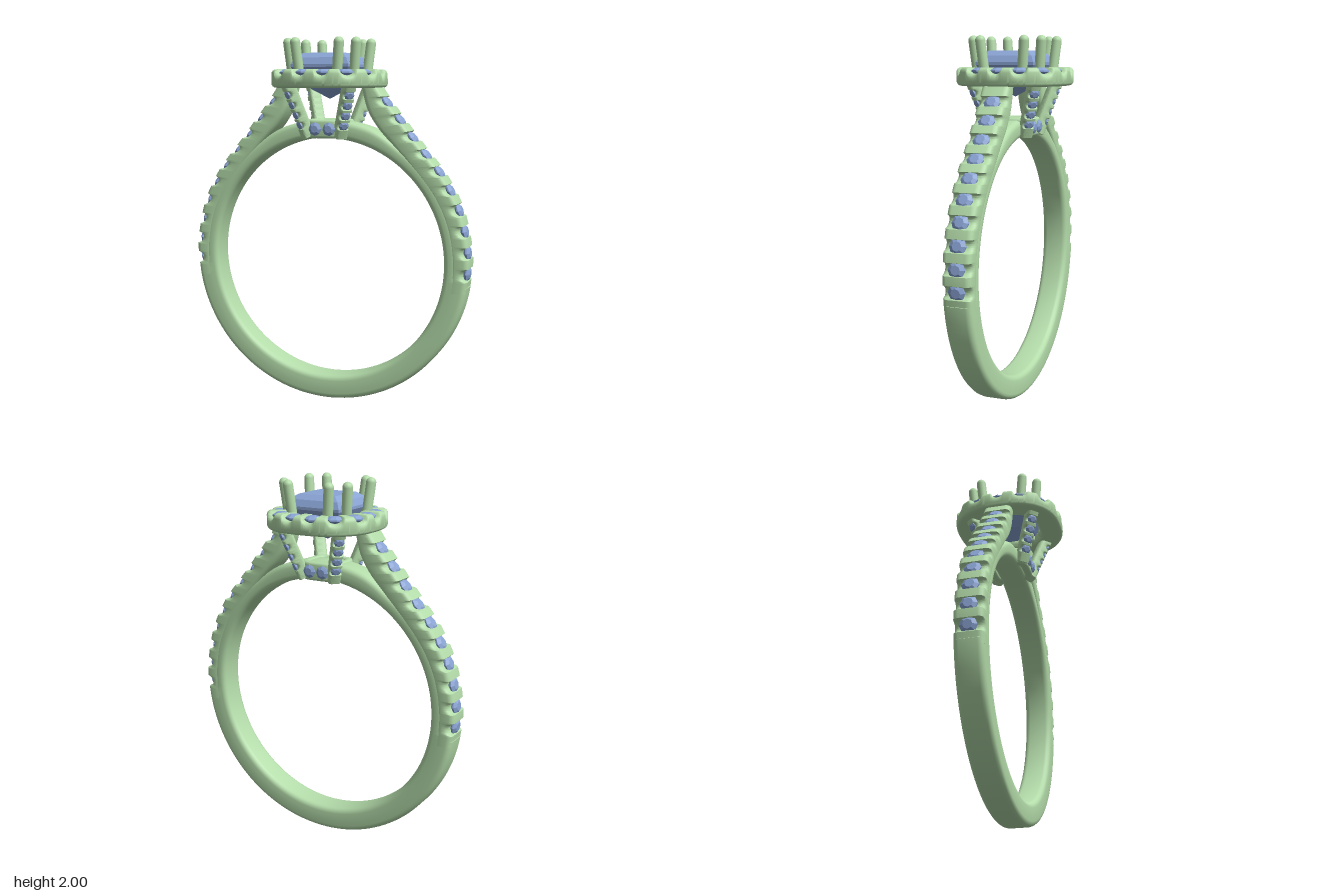
import * as THREE from 'three';
import { toCreasedNormals } from 'three/addons/utils/BufferGeometryUtils.js';

const V = (x, y, z = 0) => new THREE.Vector3(x, y, z);
const UP = V(0, 1, 0);
const metal = new THREE.MeshStandardMaterial({ color: 0xb4dcaa });
const gemMat = new THREE.MeshStandardMaterial({ color: 0x8aa4d4, flatShading: true });

// Rounded rectangle, width w centred on 0, height from 0 to h, counter-clockwise
function roundedRect(w, h, r) {
  r = Math.min(r, h * 0.45, w * 0.45);
  const pts = [];
  const corners = [[w / 2 - r, r], [w / 2 - r, h - r], [r - w / 2, h - r], [r - w / 2, r]];
  corners.forEach(([cx, cy], c) => {
    for (let k = 0; k <= 4; k++) {
      const a = (c - 1 + k / 4) * Math.PI / 2;
      pts.push([cx + r * Math.cos(a), cy + r * Math.sin(a)]);
    }
  });
  return pts;
}

// Sweep a rounded rectangle; section(u) gives base o, height direction y, tangent t, w, h, r
function sweep(name, n, closed, section) {
  const pos = [], idx = [], rows = closed ? n : n + 3;
  for (let i = 0; i < rows; i++) {
    const k = closed ? i : Math.min(Math.max(i - 1, 0), n);
    const s = section(k / n);
    const x = s.y.clone().cross(s.t).normalize();
    const cap = !closed && (i === 0 || i === rows - 1); // end rows collapse into caps
    for (const [a, b] of roundedRect(s.w, s.h, s.r)) {
      const p = s.o.clone().addScaledVector(x, cap ? 0 : a).addScaledVector(s.y, cap ? s.h / 2 : b);
      pos.push(p.x, p.y, p.z);
    }
  }
  const m = 20;
  for (let i = 0; i < (closed ? rows : rows - 1); i++) {
    for (let j = 0; j < m; j++) {
      const a = i * m + j, b = i * m + (j + 1) % m;
      const c = ((i + 1) % rows) * m + j, d = ((i + 1) % rows) * m + (j + 1) % m;
      idx.push(a, b, c, b, d, c);
    }
  }
  const g = new THREE.BufferGeometry();
  g.setAttribute('position', new THREE.Float32BufferAttribute(pos, 3));
  g.setIndex(idx);
  const mesh = new THREE.Mesh(toCreasedNormals(g, 0.6), metal);
  mesh.name = name;
  return mesh;
}

// Depth of the round scallops cut at each stone position along a length
function scallop(s, seats, r) {
  let d = 0;
  for (const c of seats) d = Math.max(d, Math.sqrt(Math.max(0, r * r - (s - c) ** 2)));
  return d;
}

// Small round faceted stone
const gemGeo = new THREE.LatheGeometry(
  [[0, -0.8], [1, -0.08], [1, 0.08], [0.55, 0.36], [0, 0.36]].map(([x, y]) => new THREE.Vector2(x, y)), 8);
function gem(r, p, dir) {
  const mesh = new THREE.Mesh(gemGeo, gemMat);
  mesh.name = 'smallStone';
  mesh.scale.setScalar(r);
  mesh.position.copy(p);
  mesh.quaternion.setFromUnitVectors(UP, dir.clone().normalize());
  return mesh;
}

// Closed cushion-shaped path
function cushion(half, e, y) {
  const pts = [];
  for (let i = 0; i < 40; i++) {
    const a = i / 40 * Math.PI * 2, c = Math.cos(a), s = Math.sin(a);
    const k = half / (Math.abs(c) ** e + Math.abs(s) ** e) ** (1 / e);
    pts.push(V(c * k, y, s * k));
  }
  return new THREE.CatmullRomCurve3(pts, true);
}

function group(name, ...kids) {
  const g = new THREE.Group();
  g.name = name;
  if (kids.length) g.add(...kids);
  return g;
}

// Forked shoulder with a row of set stones
function shoulder(name) {
  const curve = a => new THREE.CatmullRomCurve3(a.map(([x, y]) => V(x, y)));
  const outer = curve([[0.285, 1.745], [0.345, 1.66], [0.42, 1.565], [0.49, 1.475], [0.565, 1.385], [0.635, 1.3],
    [0.695, 1.205], [0.745, 1.1], [0.777, 0.99], [0.797, 0.87], [0.8, 0.79], [0.785, 0.66]]);
  const inner = curve([[0.2, 1.745], [0.235, 1.62], [0.29, 1.53], [0.39, 1.42], [0.5, 1.29],
    [0.6, 1.16], [0.665, 1.02], [0.695, 0.87], [0.7, 0.78], [0.688, 0.66]]);
  const len = outer.getLength();
  const seats = Array.from({ length: 10 }, (_, i) => 0.1 + i * 0.116);
  const g = group(name, sweep('shoulderBar', 260, false, u => {
    const o = inner.getPointAt(u), y = outer.getPointAt(u).sub(o), h = y.length();
    return { o, y: y.normalize(), t: outer.getTangentAt(u), w: 0.154, r: 0.028,
      h: h - scallop(u * len, seats, 0.032) };
  }));
  for (const s of seats) {
    const t = outer.getTangentAt(s / len), n = V(-t.y, t.x);
    g.add(gem(0.046, outer.getPointAt(s / len).addScaledVector(n, -0.016), n));
  }
  return g;
}

// Corner strut of the basket, running down from the halo
function strut(sx, sz) {
  const a = V(0.175 * sx, 1.76, 0.175 * sz), b = V(0.09 * sx, 1.475, 0.09 * sz);
  const t = b.clone().sub(a), len = t.length();
  t.normalize();
  const out = V(sx, 0, sz);
  out.addScaledVector(t, -out.dot(t)).normalize();
  const seats = [0.2, 0.4, 0.6, 0.8].map(u => u * len * 0.95);
  const g = group('basketStrut', sweep('strutBar', 70, false, u => ({
    o: a.clone().lerp(b, u).addScaledVector(out, -0.03), y: out, t, w: 0.066, r: 0.015,
    h: 0.065 - scallop(u * len, seats, 0.02)
  })));
  for (const s of seats) g.add(gem(0.028, a.clone().addScaledVector(t, s).addScaledVector(out, 0.026), out));
  return g;
}

export function createModel() {
  const model = group('ring');

  // Finger band, slimmer under the shoulders and across the bridge
  model.add(sweep('band', 180, true, u => {
    const th = u * Math.PI * 2, deg = Math.abs(((u * 360 + 180) % 360) - 180);
    const y = V(Math.sin(th), Math.cos(th));
    const outer = 0.765 - 0.017 * THREE.MathUtils.smoothstep(deg, 18, 35)
      + 0.05 * THREE.MathUtils.smoothstep(deg, 95, 98);
    return { o: V(0, 0.798).addScaledVector(y, 0.666), y, t: V(Math.cos(th), -Math.sin(th)),
      w: 0.153, h: outer - 0.666, r: 0.03 };
  }));

  const left = shoulder('leftShoulder'), right = shoulder('rightShoulder');
  right.rotation.y = Math.PI;
  model.add(left, right);

  // Halo with fourteen stones
  const path = cushion(0.238, 2.6, 1.735), len = path.getLength();
  const seats = Array.from({ length: 15 }, (_, i) => i / 14 * len);
  const halo = group('halo', sweep('haloRim', 336, true, u => ({
    o: path.getPointAt(u), y: UP, t: path.getTangentAt(u), w: 0.134, r: 0.025,
    h: 0.098 - scallop(u * len, seats, 0.033)
  })));
  for (let i = 0; i < 14; i++) halo.add(gem(0.048, path.getPointAt(i / 14).setY(1.815), UP));
  model.add(halo);

  // Collar at the foot of the basket
  const ring = cushion(0.098, 4, 1.465);
  const collar = group('collar', sweep('collarRim', 80, true, u => ({
    o: ring.getPointAt(u), y: UP, t: ring.getTangentAt(u), w: 0.045, h: 0.1, r: 0.015
  })));
  for (const s of [-1, 1]) {
    for (const x of [-0.04, 0.04]) collar.add(gem(0.036, V(x, 1.515, 0.122 * s), V(0, 0, s)));
  }
  model.add(collar);

  // Struts and paired claws at the four corners
  for (const sx of [-1, 1]) {
    for (const sz of [-1, 1]) {
      model.add(strut(sx, sz));
      for (const [x, z] of [[0.123, 0.193], [0.193, 0.123]]) {
        const top = V(x * sx, 1.973, z * sz), foot = V((x - 0.02) * sx, 1.77, (z - 0.02) * sz);
        const d = top.clone().sub(foot);
        const claw = new THREE.Mesh(new THREE.CapsuleGeometry(0.027, d.length(), 6, 16), metal);
        claw.name = 'claw';
        claw.position.copy(top).add(foot).multiplyScalar(0.5);
        claw.quaternion.setFromUnitVectors(UP, d.normalize());
        model.add(claw);
      }
    }
  }

  // Square centre stone
  const profile = [[0, 1.675], [0.075, 1.725], [0.125, 1.775], [0.163, 1.845], [0.163, 1.86], [0.145, 1.895], [0.11, 1.92], [0, 1.922]];
  const centre = new THREE.Mesh(new THREE.LatheGeometry(
    profile.map(([r, y]) => new THREE.Vector2(r * Math.SQRT2, y)), 4, Math.PI / 4), gemMat);
  centre.name = 'centreStone';
  model.add(centre);

  return model;
}
